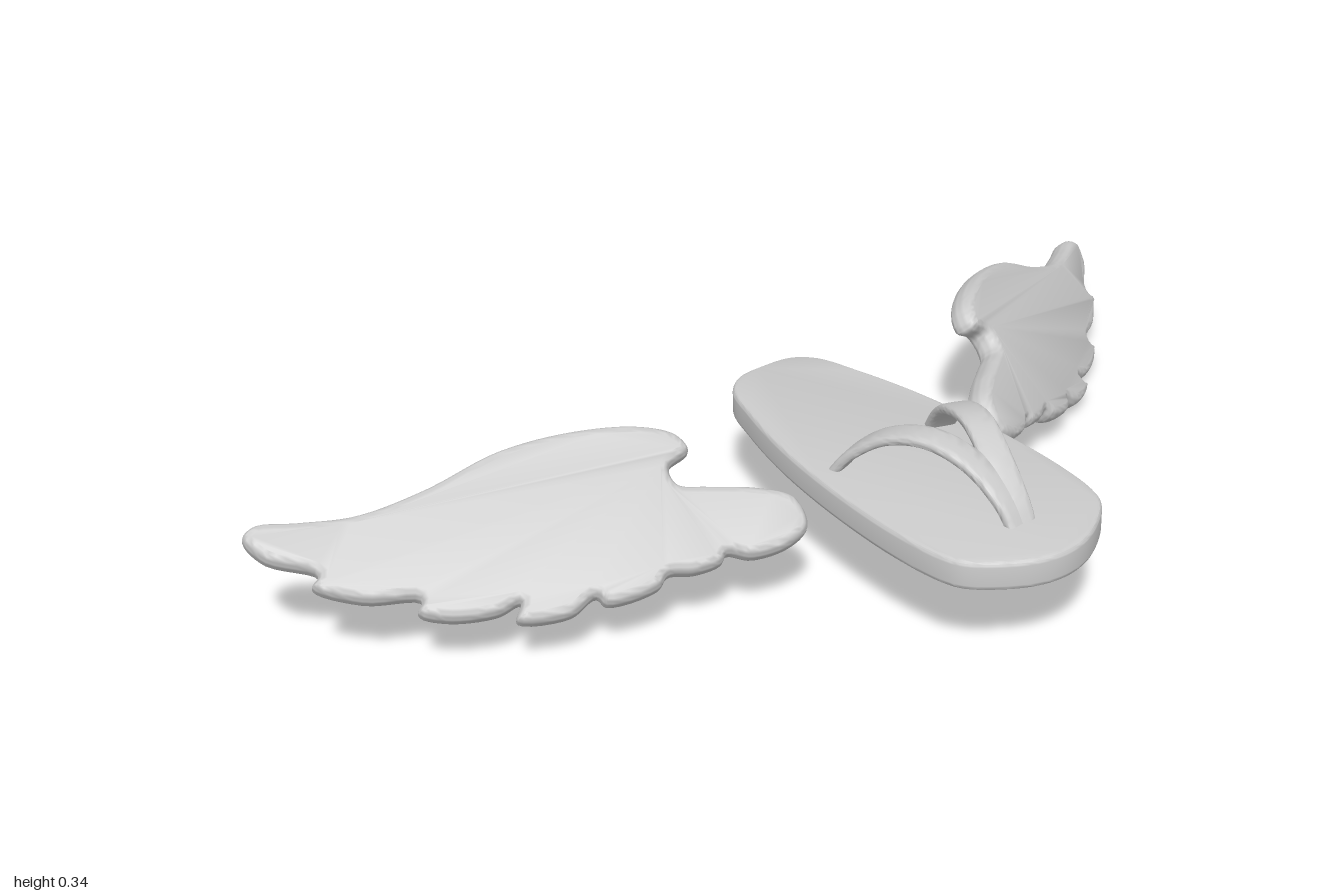
import * as THREE from 'three';
import { mergeVertices, toCreasedNormals } from 'three/addons/utils/BufferGeometryUtils.js';

const material = new THREE.MeshStandardMaterial({ color: 0xcccccc });
const vec = (x, y, z) => new THREE.Vector3(x, y, z);

// Smooth closed outline through a few 2D points
function smoothShape(points, samples) {
  const curve = new THREE.CatmullRomCurve3(points.map(([x, y]) => vec(x, y, 0)), true, 'centripetal');
  return new THREE.Shape(curve.getPoints(samples).slice(0, -1).map(p => new THREE.Vector2(p.x, p.y)));
}

// Plate of the given thickness with rounded edges, centred on its own plane
function roundedPlate(shape, thickness, bevel, size, crease) {
  const geo = new THREE.ExtrudeGeometry(shape, {
    depth: thickness - 2 * bevel, bevelEnabled: true, bevelThickness: bevel,
    bevelSize: size, bevelOffset: -size, bevelSegments: 5, curveSegments: 1,
  });
  geo.translate(0, 0, bevel - thickness / 2);
  return toCreasedNormals(geo, crease);
}

// Wing outline: x runs from root to tip, y towards the leading edge
const WING = [
  [-0.06, -0.003], [-0.04, 0.051], [0.025, 0.069], [0.11, 0.073], [0.16, 0.078], [0.172, 0.108],
  [0.137, 0.139], [0.155, 0.168], [0.216, 0.185], [0.334, 0.178], [0.462, 0.144], [0.586, 0.078],
  [0.701, 0.034], [0.796, 0.024], [0.868, 0.019], [0.887, -0.003], [0.852, -0.043], [0.765, -0.07],
  // feather tips and the notches between them
  [0.775, -0.09], [0.692, -0.118], [0.598, -0.118], [0.603, -0.14], [0.555, -0.154], [0.472, -0.146],
  [0.435, -0.128], [0.442, -0.158], [0.352, -0.152], [0.308, -0.12], [0.291, -0.134], [0.203, -0.108],
  [0.185, -0.085], [0.14, -0.082], [0.094, -0.066], [0.083, -0.05], [0.04, -0.057], [-0.026, -0.037],
];

// Places a wing by its root, the direction to its tip and the normal of its plane
function wing(name, geometry, root, along, normal, side) {
  const u = along.clone().normalize();
  const v = normal.clone().cross(u).multiplyScalar(side).normalize();
  const mesh = new THREE.Mesh(geometry, material);
  const basis = new THREE.Matrix4().makeBasis(u, v, u.clone().cross(v));
  mesh.quaternion.setFromRotationMatrix(basis);
  mesh.position.copy(root);
  mesh.name = name;
  return mesh;
}

// Flat band with softened edges swept along a path
function bandGeometry(points, halfWidth, halfThick) {
  const path = new THREE.CatmullRomCurve3(points.map(p => vec(...p)));
  const steps = 48, ring = 20, pos = [], index = [];
  const soft = (a) => Math.sign(a) * Math.pow(Math.abs(a), 0.5);
  for (let i = 0; i <= steps; i++) {
    const c = path.getPoint(i / steps), t = path.getTangent(i / steps);
    const side = t.clone().cross(vec(0, 1, 0)).normalize();
    const up = side.clone().cross(t);
    for (let j = 0; j < ring; j++) {
      const a = (j / ring) * Math.PI * 2;
      const p = c.clone().addScaledVector(side, halfWidth * soft(Math.cos(a)))
        .addScaledVector(up, halfThick * soft(Math.sin(a)));
      pos.push(p.x, p.y, p.z);
      if (i < steps) {
        const k = i * ring + j, n = i * ring + (j + 1) % ring;
        index.push(k, k + ring, n, n, k + ring, n + ring);
      }
    }
  }
  const geo = new THREE.BufferGeometry();
  geo.setAttribute('position', new THREE.Float32BufferAttribute(pos, 3));
  geo.setIndex(index);
  return toCreasedNormals(mergeVertices(geo), 0.9);
}

export function createModel() {
  const model = new THREE.Group();
  model.name = 'wingedSandal';

  // Sandal, centred on its own long axis
  const sandal = new THREE.Group();
  sandal.name = 'sandal';
  sandal.position.x = 0.04;
  model.add(sandal);

  // Sole: half outline as [half width, z], mirrored
  const half = [[0.06, -0.315], [0.1, -0.28], [0.127, -0.2], [0.152, -0.1], [0.169, 0], [0.182, 0.14],
    [0.184, 0.28], [0.172, 0.385], [0.155, 0.425], [0.11, 0.465], [0.055, 0.495]];
  const outline = [[0, -0.322], ...half, [0, 0.505], ...half.map(([x, z]) => [-x, z]).reverse()];
  const soleShape = smoothShape(outline.map(([x, z]) => [x, -z]), 120);
  const sole = new THREE.Mesh(roundedPlate(soleShape, 0.056, 0.01, 0.008, 0.6), material);
  sole.rotation.x = -Math.PI / 2;
  sole.position.y = 0.197;
  sole.name = 'sole';
  sandal.add(sole);

  // Two straps that arch from the toe post to the sides
  for (const s of [-1, 1]) {
    const strap = new THREE.Mesh(bandGeometry([
      [0, 0.2, 0.4], [s * 0.006, 0.25, 0.366], [s * 0.022, 0.302, 0.3], [s * 0.05, 0.327, 0.22],
      [s * 0.078, 0.308, 0.14], [s * 0.103, 0.262, 0.08], [s * 0.12, 0.2, 0.035],
    ], 0.028, 0.01), material);
    strap.name = s > 0 ? 'leftStrap' : 'rightStrap';
    sandal.add(strap);
  }

  // Wings, each tilted its own way
  const wingGeo = roundedPlate(smoothShape(WING, 220), 0.052, 0.022, 0.016, 1.0);
  model.add(wing('leftWing', wingGeo, vec(0.3, 0.175, 0.04),
    vec(0.685, -0.075, -0.54), vec(0.9, 1.03, 1), 1));
  model.add(wing('rightWing', wingGeo, vec(-0.24, 0.17, 0.07),
    vec(-0.77, 0.07, -0.43), vec(-0.435, 1.352, 1), -1));

  return model;
}
